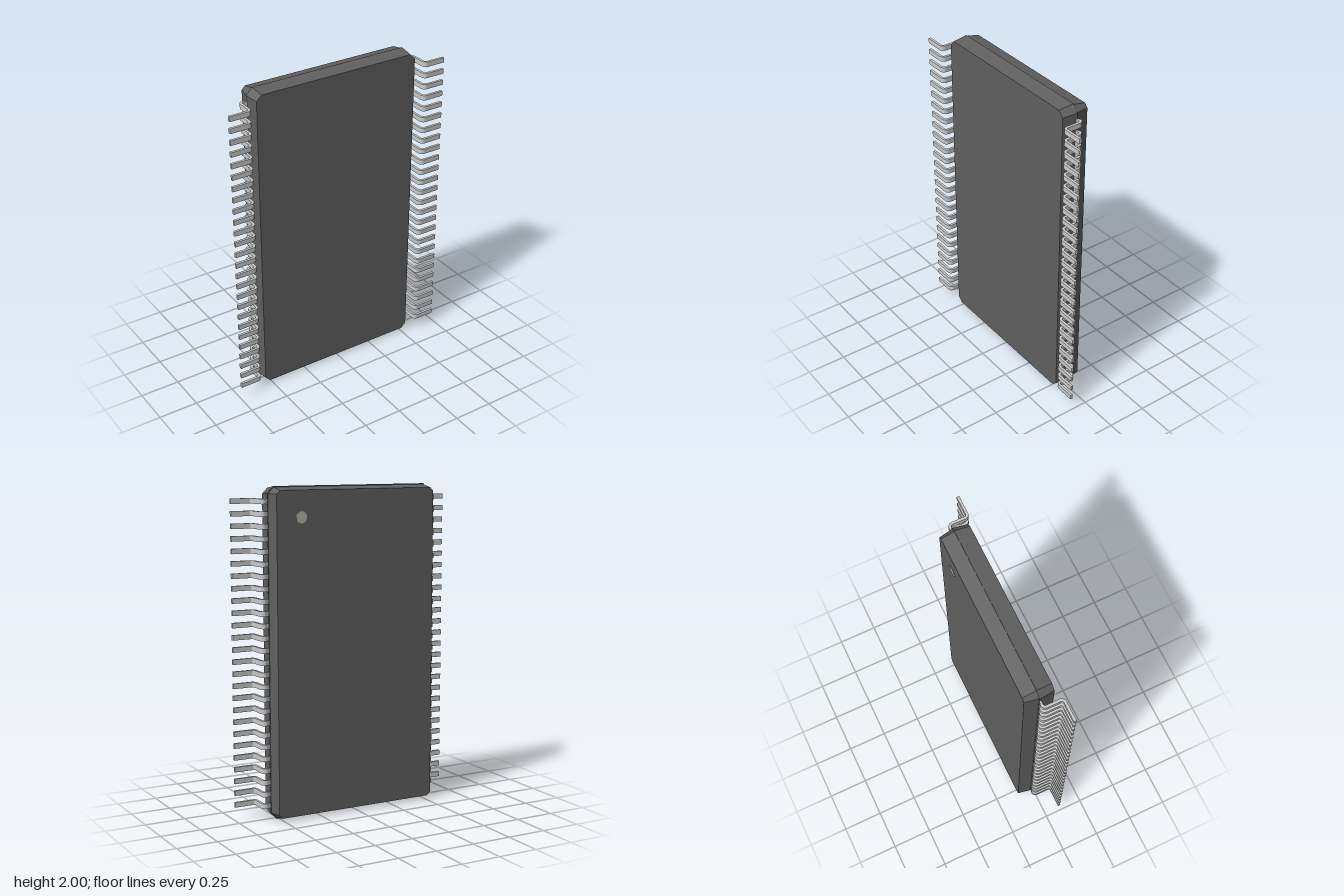
import * as THREE from 'three';

const PINS = 26, PITCH = 0.073, PIN_W = 0.031;

// Rectangle with cut corners, counter-clockwise seen from +z
function section(hx, hy, c, z) {
  return [
    [hx, -hy + c], [hx, hy - c], [hx - c, hy], [-hx + c, hy],
    [-hx, hy - c], [-hx, -hy + c], [-hx + c, -hy], [hx - c, -hy],
  ].map(([x, y]) => [x, y + 1, z]);
}

// Closed solid between a back and a front section
function loft(back, front) {
  const pos = [], n = back.length;
  const tri = (a, b, c) => pos.push(...a, ...b, ...c);
  for (let i = 0; i < n; i++) {
    const j = (i + 1) % n;
    tri(back[i], back[j], front[j]);
    tri(back[i], front[j], front[i]);
  }
  for (let i = 1; i < n - 1; i++) {
    tri(front[0], front[i], front[i + 1]);
    tri(back[0], back[i + 1], back[i]);
  }
  const g = new THREE.BufferGeometry();
  g.setAttribute('position', new THREE.Float32BufferAttribute(pos, 3));
  g.computeVertexNormals();
  return g;
}

// Gull-wing lead: bent strip profile in x/z, extruded along y
function pinGeometry() {
  const h = 0.008, r = 0.02, legX = 0.597, topZ = -0.022, footZ = 0.098;
  const x0 = 0.52, x1 = 0.735, P = Math.PI;
  const ax = legX - r, az = topZ + r, bx = legX + r, bz = footZ - r;
  const s = new THREE.Shape();
  s.moveTo(x0, topZ - h);
  s.absarc(ax, az, r + h, -P / 2, 0, false);
  s.absarc(bx, bz, r - h, P, P / 2, true);
  s.lineTo(x1, footZ - h);
  s.lineTo(x1, footZ + h);
  s.absarc(bx, bz, r + h, P / 2, P, false);
  s.absarc(ax, az, r - h, 0, -P / 2, true);
  s.lineTo(x0, topZ + h);
  const g = new THREE.ExtrudeGeometry(s, { depth: PIN_W, bevelEnabled: false, curveSegments: 5 });
  g.translate(0, 0, -PIN_W / 2);
  g.rotateX(P / 2);
  return g;
}

export function createModel() {
  const group = new THREE.Group();
  const bodyMat = new THREE.MeshStandardMaterial({ color: 0x606060, flatShading: true });
  const pinMat = new THREE.MeshStandardMaterial({ color: 0xcccccc });
  const dotMat = new THREE.MeshStandardMaterial({ color: 0xb4b4a8 });
  const add = (parent, geo, mat, name) => {
    const m = new THREE.Mesh(geo, mat);
    m.name = name;
    parent.add(m);
    return m;
  };

  // Two tapered halves of the package, meeting at the lead plane
  const zMid = -0.024;
  add(group, loft(section(0.555, 1, 0.04, zMid), section(0.543, 0.987, 0.033, 0.07)), bodyMat, 'bodyFrontHalf');
  add(group, loft(section(0.535, 0.978, 0.022, -0.107), section(0.55, 0.994, 0.036, zMid)), bodyMat, 'bodyBackHalf');

  // Round marker in the corner of the back face
  const dot = add(group, new THREE.CylinderGeometry(0.035, 0.035, 0.004, 32), dotMat, 'cornerMarker');
  dot.rotation.x = Math.PI / 2;
  dot.position.set(0.375, 1.82, -0.1065);

  // Rows of leads on both sides
  const geo = pinGeometry();
  for (const side of [1, -1]) {
    const row = new THREE.Group();
    row.name = side > 0 ? 'leftPins' : 'rightPins';
    for (let i = 0; i < PINS; i++) {
      const pin = add(row, geo, pinMat, 'pin');
      pin.position.y = 1 + (i - (PINS - 1) / 2) * PITCH;
      if (side < 0) pin.rotation.z = Math.PI;
    }
    group.add(row);
  }
  return group;
}
